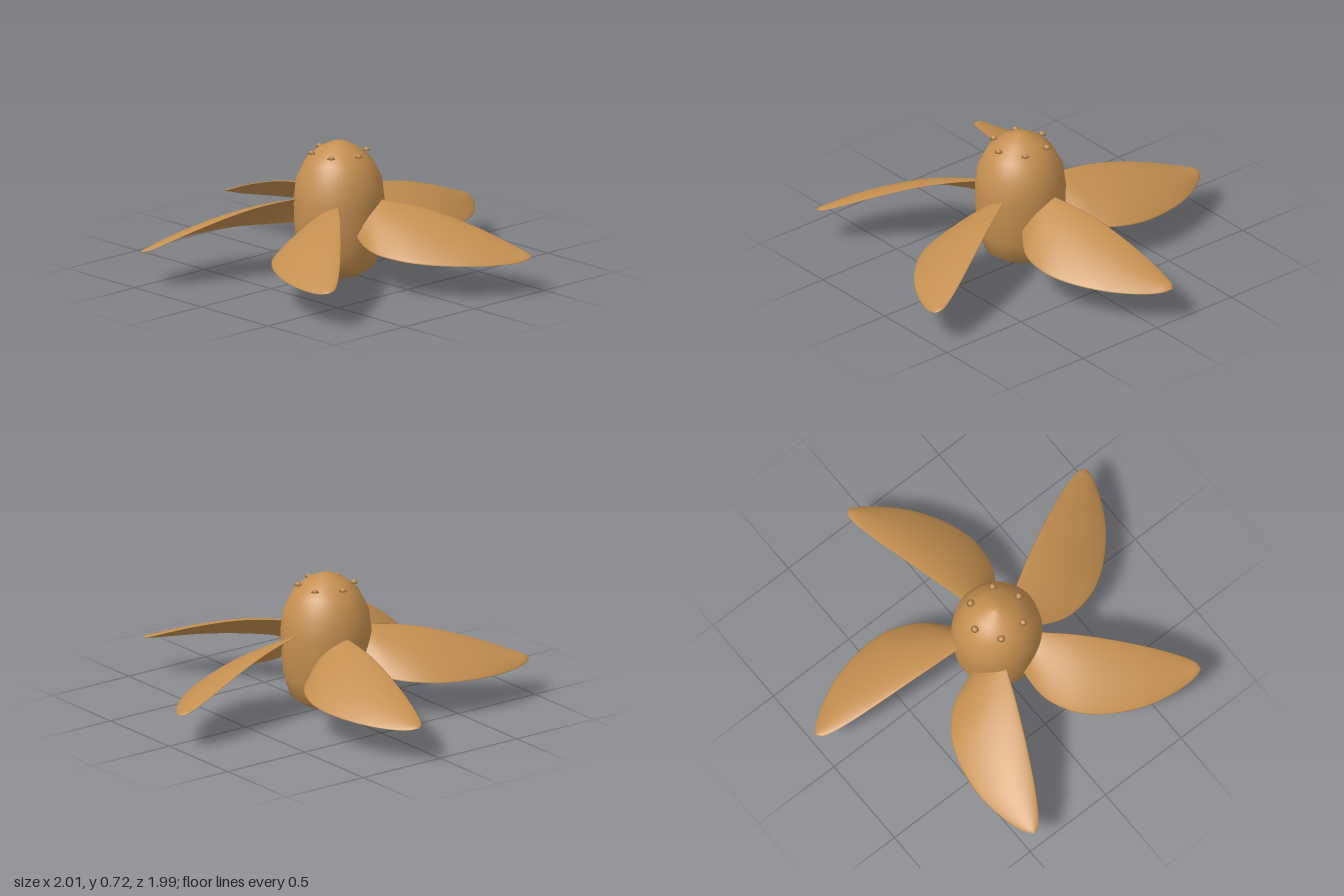
import * as THREE from 'three';

const bronze = new THREE.MeshStandardMaterial({ color: 0xc48f50 });
bronze.name = 'bronze';

// Blade edges by radius: [radius, high edge offset, high edge y, low edge offset, low edge y]
const SECTIONS = [
  [0.08, 0.015, 0.42, 0.10, 0.33],
  [0.14, 0.02, 0.425, 0.20, 0.25],
  [0.24, 0.03, 0.42, 0.32, 0.215],
  [0.39, 0.04, 0.405, 0.395, 0.20],
  [0.54, 0.055, 0.375, 0.41, 0.19],
  [0.74, 0.08, 0.315, 0.375, 0.182],
  [0.89, 0.105, 0.26, 0.31, 0.178],
  [0.99, 0.13, 0.22, 0.245, 0.18],
  [1.03, 0.148, 0.205, 0.21, 0.187],
  [1.05, 0.178, 0.196, 0.178, 0.196],
];

// Thin twisted blade lofted between its high and low edges
function bladeGeometry() {
  const high = new THREE.CatmullRomCurve3(SECTIONS.map(([r, s, y]) => new THREE.Vector3(-r, y, -s)));
  const low = new THREE.CatmullRomCurve3(SECTIONS.map(([r, , , s, y]) => new THREE.Vector3(-r, y, -s)));
  const steps = 45, around = 28;
  const positions = [], index = [];
  for (let i = 0; i <= steps; i++) {
    const a = high.getPoint(i / steps), b = low.getPoint(i / steps);
    const chord = a.distanceTo(b);
    for (let j = 0; j < around; j++) {
      const angle = (j / around) * Math.PI * 2;
      const t = (1 - Math.cos(angle)) / 2;
      const p = a.clone().lerp(b, t);
      const camber = 0.3 * chord * t * (1 - t);
      const thickness = Math.min(0.009, chord * 0.1) * Math.sin(angle);
      positions.push(p.x, p.y + camber + thickness, p.z);
      if (i < steps) {
        const k = (j + 1) % around;
        const p0 = i * around + j, p1 = i * around + k;
        index.push(p0, p1, p0 + around, p1, p1 + around, p0 + around);
      }
    }
  }
  const geometry = new THREE.BufferGeometry();
  geometry.setAttribute('position', new THREE.Float32BufferAttribute(positions, 3));
  geometry.setIndex(index);
  geometry.computeVertexNormals();
  return geometry;
}

function lathe(profile, sides) {
  return new THREE.LatheGeometry(profile.map(([x, y]) => new THREE.Vector2(x, y)), sides);
}

export function createModel() {
  const model = new THREE.Group();
  model.name = 'propeller';
  const rotor = new THREE.Group();
  rotor.name = 'rotor';
  rotor.position.set(0.04, 0, 0.052);
  model.add(rotor);

  // Rounded hub
  const hub = new THREE.Mesh(lathe([
    [0, 0], [0.115, 0.008], [0.188, 0.06], [0.221, 0.17], [0.233, 0.29],
    [0.236, 0.41], [0.222, 0.52], [0.172, 0.62], [0.105, 0.68], [0.03, 0.715], [0, 0.717],
  ], 48), bronze);
  hub.name = 'hub';
  rotor.add(hub);

  // Five blades
  const blade = bladeGeometry();
  for (let i = 0; i < 5; i++) {
    const mesh = new THREE.Mesh(blade, bronze);
    mesh.name = 'blade';
    mesh.rotation.y = -0.014 + (i * Math.PI * 2) / 5;
    rotor.add(mesh);
  }

  // Ring of six bolt heads on the hub's nose
  const bolt = lathe([[0, 0], [0.021, 0], [0.011, 0.013], [0, 0.017]], 10);
  for (let i = 0; i < 6; i++) {
    const angle = (i * Math.PI) / 3;
    const mesh = new THREE.Mesh(bolt, bronze);
    mesh.name = 'boltHead';
    mesh.position.set(Math.cos(angle) * 0.146, 0.656, Math.sin(angle) * 0.146);
    rotor.add(mesh);
  }
  return model;
}
